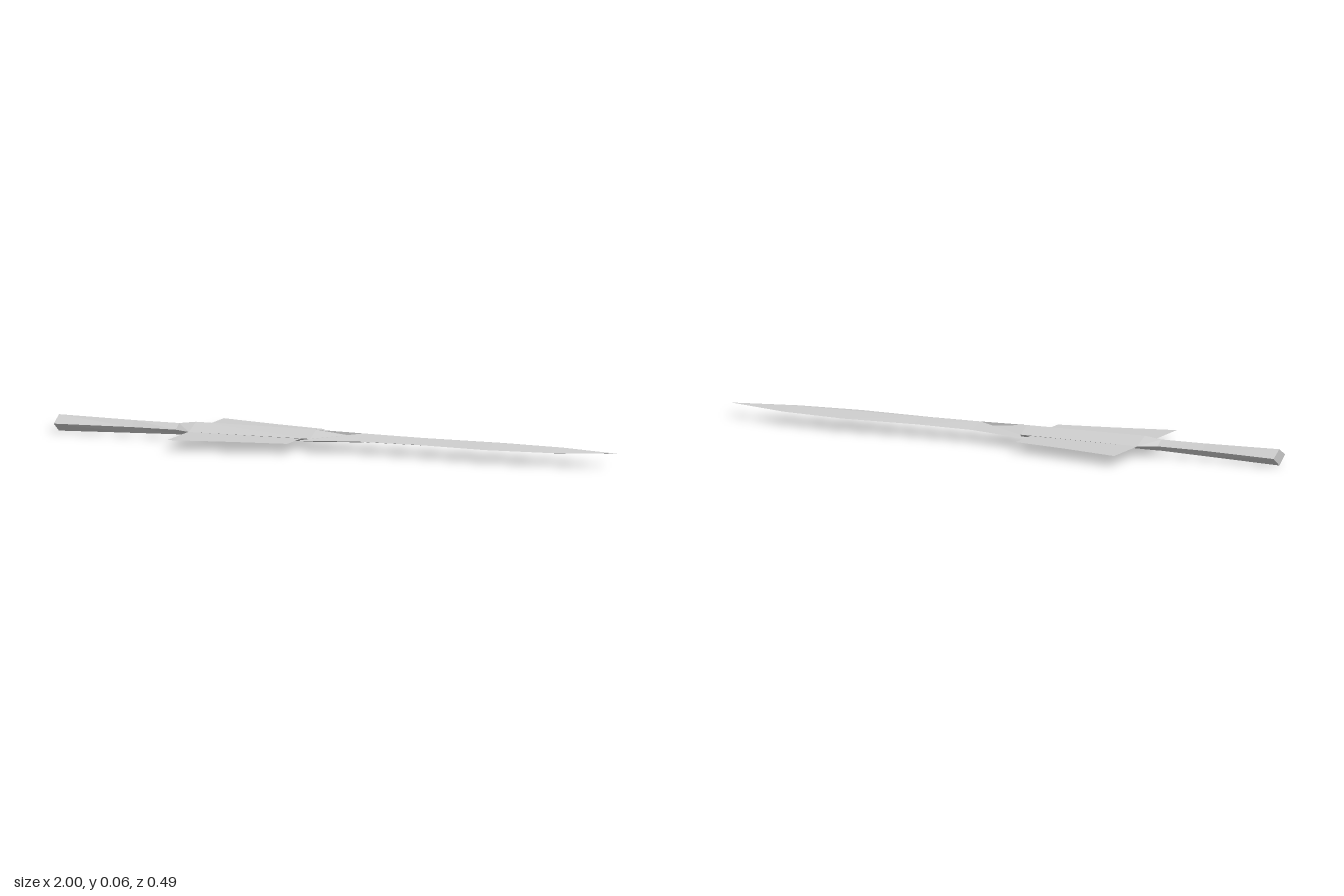
import * as THREE from 'three';

const steel = new THREE.MeshStandardMaterial({ color: 0xcccccc, side: THREE.DoubleSide, flatShading: true });
steel.name = 'steel';

// Mesh from triangles on the +z side, mirrored across z = 0
function mirroredMesh(name, tris) {
  const pos = [];
  for (const [a, b, c] of tris) {
    pos.push(...a, ...b, ...c);
    for (const p of [a, c, b]) pos.push(p[0], p[1], -p[2]);
  }
  const geo = new THREE.BufferGeometry();
  geo.setAttribute('position', new THREE.Float32BufferAttribute(pos, 3));
  geo.computeVertexNormals();
  const mesh = new THREE.Mesh(geo, steel);
  mesh.name = name;
  return mesh;
}

// Diamond cross-sections: [x, halfWidth, ridgeY, edgeY, keelY]
function diamondLoft(rows) {
  const rings = rows.map(([x, w, t, m, b]) => [[x, t, 0], [x, m, w], [x, b, 0]]);
  const tris = [];
  for (let i = 0; i < rings.length - 1; i++) {
    const p = rings[i], q = rings[i + 1];
    for (let k = 0; k < 2; k++) {
      tris.push([p[k], p[k + 1], q[k + 1]], [p[k], q[k + 1], q[k]]);
    }
  }
  return { rings, tris };
}

export function createModel() {
  const group = new THREE.Group();
  group.name = 'dagger';

  // Grip flaring to a flat pommel
  const grip = diamondLoft([
    [-1, 0.045, 0.057, 0.032, 0.002],
    [-0.73, 0.024, 0.054, 0.034, 0.011],
    [-0.57, 0.03, 0.054, 0.036, 0.016],
  ]);
  const [top, edge, keel] = grip.rings[0];
  grip.tris.push([top, keel, edge]);
  group.add(mirroredMesh('grip', grip.tris));

  // Spine through the guard, pointed where it enters the blade
  group.add(mirroredMesh('spine', diamondLoft([
    [-0.57, 0.03, 0.054, 0.036, 0.016],
    [-0.51, 0.063, 0.062, 0.037, 0.016],
    [-0.08, 0.053, 0.062, 0.039, 0.021],
    [0.09, 0.001, 0.06, 0.045, 0.03],
  ]).tris));

  // Flat guard wings
  const y = 0.037;
  const outer = [[-0.512, 0.245], [-0.31, 0.2], [-0.115, 0.165]];
  const wings = [];
  for (let i = 0; i < 2; i++) {
    const [x0, z0] = outer[i], [x1, z1] = outer[i + 1];
    const a = [x0, y, 0.03], b = [x0, y, z0], c = [x1, y, z1], d = [x1, y, 0.03];
    wings.push([a, b, c], [a, c, d]);
  }
  group.add(mirroredMesh('guardWings', wings));

  // Leaf-shaped blade
  const blade = diamondLoft([
    [0.09, 0.067, 0.06, 0.043, 0.031],
    [0.3, 0.067, 0.058, 0.045, 0.033],
    [0.56, 0.08, 0.058, 0.045, 0.033],
    [0.78, 0.06, 0.057, 0.046, 0.036],
    [1, 0, 0.048, 0.048, 0.048],
  ]);
  // Swept-back barbs at the blade base
  const [R, E, K] = blade.rings[0];
  const barb = [-0.11, 0.039, 0.105], inner = [-0.08, 0.039, 0.053];
  blade.tris.push([barb, E, R], [R, inner, barb], [K, E, barb], [K, barb, inner]);
  group.add(mirroredMesh('blade', blade.tris));

  return group;
}
